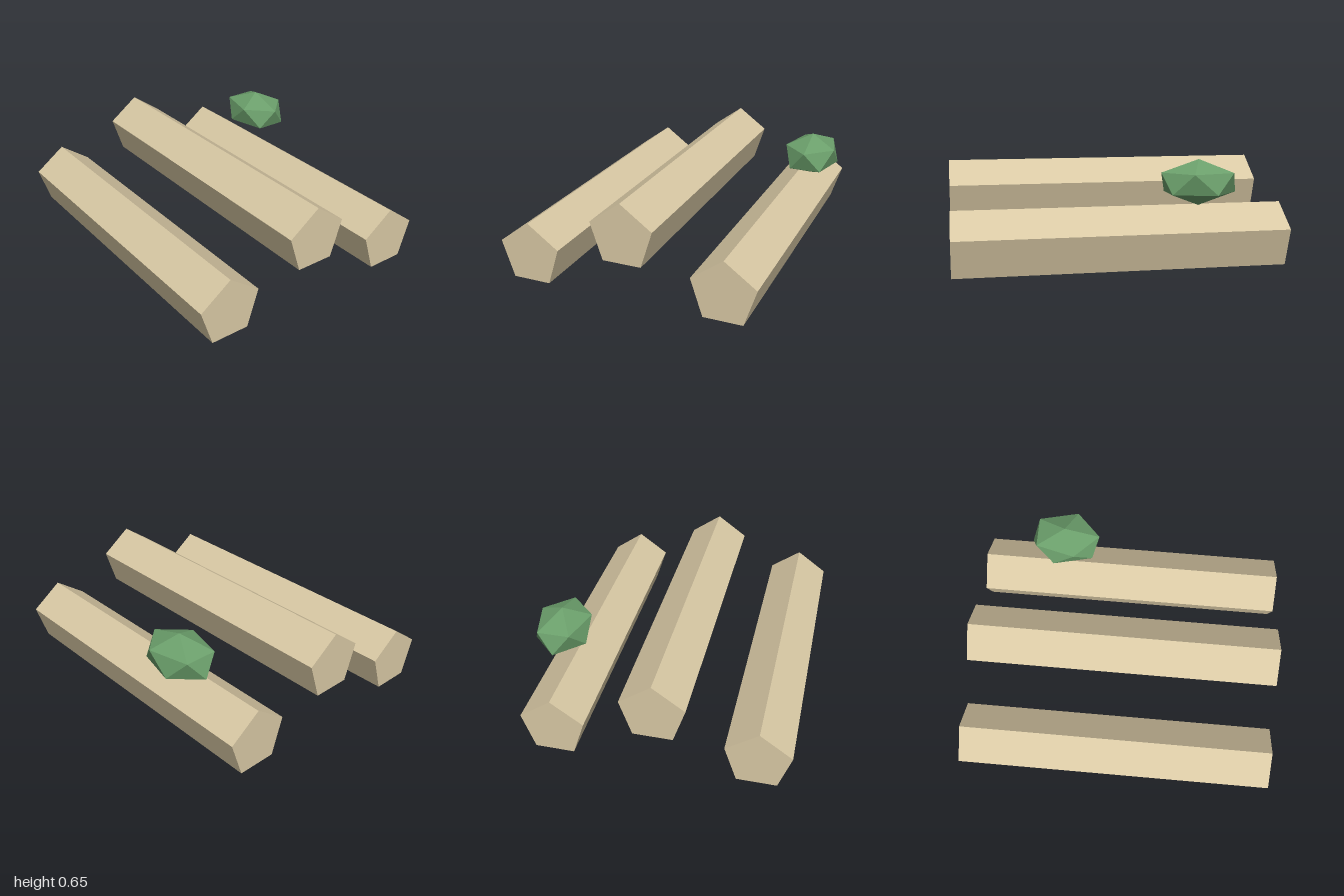
import * as THREE from 'three';

export function createModel() {
  const model = new THREE.Group();
  const wood = new THREE.MeshStandardMaterial({ color: 0xd8c8a4, flatShading: true });
  const green = new THREE.MeshStandardMaterial({ color: 0x6b9f6b, flatShading: true });

  // Three pentagonal logs lying along x, with one corner pointing up
  const R = 0.205;
  const logGeometry = new THREE.CylinderGeometry(R, R, 2, 5);
  logGeometry.rotateX(-Math.PI / 2).rotateY(Math.PI / 2);
  const restY = R * Math.cos(Math.PI / 5);
  const logs = [
    ['frontLog', 0, 0.645],
    ['raisedMiddleLog', 0.23, 0.03],
    ['backLog', 0, -0.585],
  ];
  for (const [name, lift, z] of logs) {
    const log = new THREE.Mesh(logGeometry, wood);
    log.name = name;
    log.position.set(0, restY + lift, z);
    model.add(log);
  }

  // Moss clump: squashed icosahedron, turned so that a vertex points up
  const mossGeometry = new THREE.IcosahedronGeometry(1, 0);
  mossGeometry.rotateZ(-Math.atan(2 / (1 + Math.sqrt(5))));
  mossGeometry.scale(0.255, 0.137, 0.191);
  const moss = new THREE.Mesh(mossGeometry, green);
  moss.name = 'mossClump';
  moss.position.set(-0.452, 0.515, -0.677);
  model.add(moss);

  return model;
}
